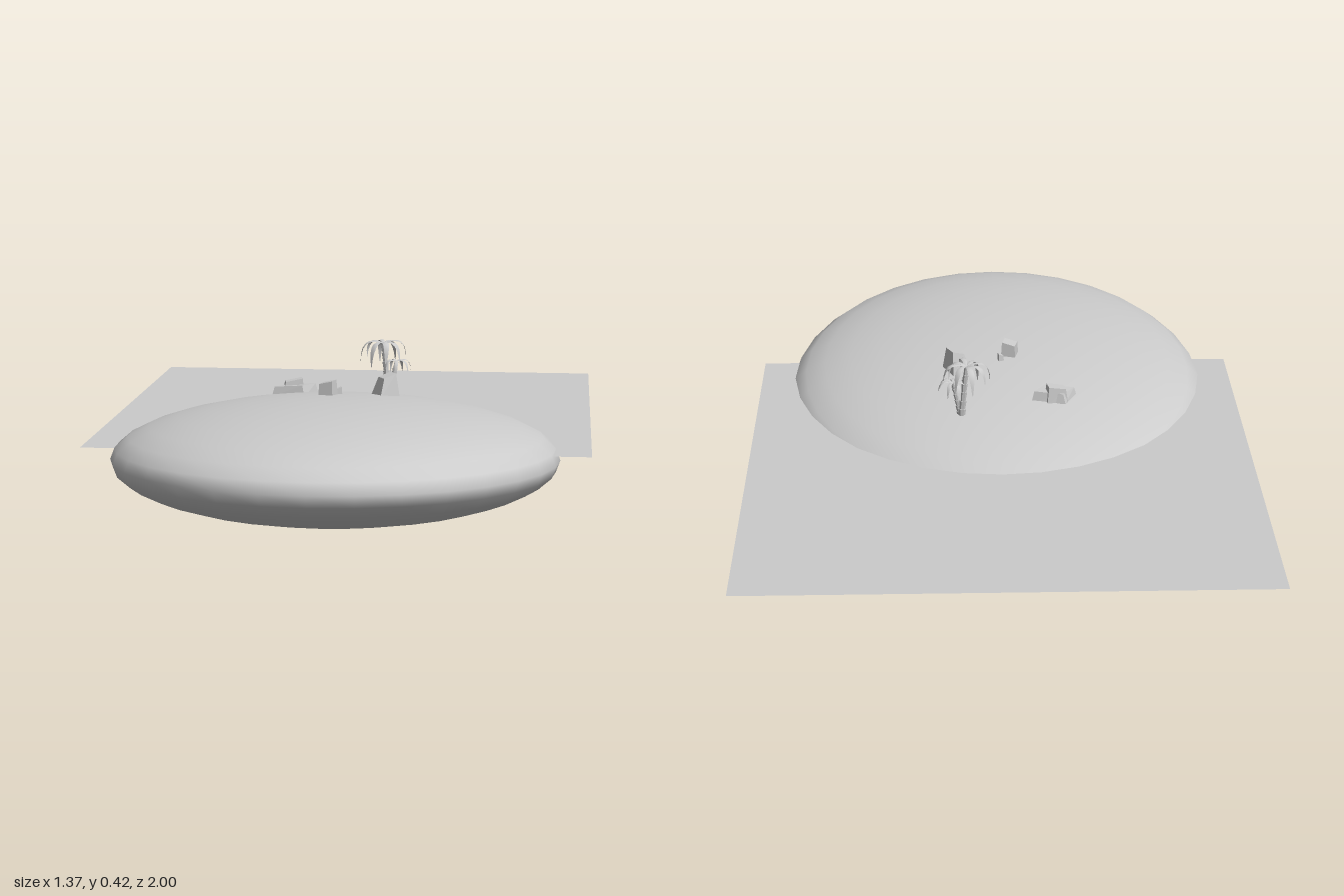
import * as THREE from 'three';

const WATER_Y = 0.2;
const CENTER = new THREE.Vector3(-0.003, 0.168, 0.28);
const RADII = new THREE.Vector3(0.605, 0.159, 0.721);
const TILT = -0.0615;

const smooth = new THREE.MeshStandardMaterial({ color: 0xcccccc });
const faceted = new THREE.MeshStandardMaterial({ color: 0xcccccc, flatShading: true });
const thin = new THREE.MeshStandardMaterial({ color: 0xcccccc, side: THREE.DoubleSide });

function addMesh(parent, name, geometry, material) {
  const mesh = new THREE.Mesh(geometry, material);
  mesh.name = name;
  parent.add(mesh);
  return mesh;
}

// Height of the tilted island's upper surface at (x, z)
function groundY(x, z) {
  const dx = (x - CENTER.x) / 0.605, dz = z - CENTER.z;
  const rise = Math.sqrt(Math.max(0, 1 - dx * dx - (dz / 0.72) ** 2));
  return CENTER.y + 0.0585 * dz + 0.1595 * rise;
}

// Boulder: a box narrowed and sheared towards its top
function addRock(parent, name, x, z, [w, h, d], turn, taper, shear = 0, skew = 0) {
  const geo = new THREE.BoxGeometry(w, h, d);
  const p = geo.attributes.position;
  for (let i = 0; i < p.count; i++) {
    const top = p.getY(i) > 0;
    const k = top ? taper : 1;
    const side = Math.sign(p.getX(i));
    const px = p.getX(i) * k + (top ? shear : 0) + p.getZ(i) * skew;
    p.setXYZ(i, px, p.getY(i) + (top ? side * h * 0.1 : 0), p.getZ(i) * k);
  }
  geo.computeVertexNormals();
  const rock = addMesh(parent, name, geo, faceted);
  rock.position.set(x, groundY(x, z) + h / 2 - 0.008, z);
  rock.rotation.y = turn;
  return rock;
}

// Drooping leaf along +x, folded slightly along its midrib
function frondGeometry(length, drop, width) {
  const pos = [], index = [], steps = 7;
  for (let i = 0; i <= steps; i++) {
    const t = i / steps;
    const x = length * Math.sin(t * Math.PI / 2);
    const y = length * 0.3 * Math.sin(t * Math.PI * 0.8) - drop * t ** 2.2;
    const half = width * (0.12 + 0.88 * Math.sin(Math.PI * Math.min(1, t * 0.97 + 0.03)));
    for (const s of [-1, 0, 1]) pos.push(x, y - Math.abs(s) * half * 0.35, s * half);
    if (i < steps) {
      const a = i * 3;
      for (const j of [a, a + 1]) index.push(j, j + 1, j + 3, j + 1, j + 4, j + 3);
    }
  }
  const geo = new THREE.BufferGeometry();
  geo.setAttribute('position', new THREE.Float32BufferAttribute(pos, 3));
  geo.setIndex(index);
  geo.computeVertexNormals();
  return geo;
}

// Trunk of short flared segments with a ring of fronds on top
function addPalm(parent, name, base, crown, radius, leaf, count) {
  const palm = new THREE.Group();
  palm.name = name;
  parent.add(palm);
  const start = new THREE.Vector3(base[0], groundY(base[0], base[1]) - 0.01, base[1]);
  const end = new THREE.Vector3(...crown);
  const mid = new THREE.Vector3(start.x * 0.6 + end.x * 0.4, (start.y + end.y) / 2, start.z * 0.8 + end.z * 0.2);
  const curve = new THREE.QuadraticBezierCurve3(start, mid, end);
  const up = new THREE.Vector3(0, 1, 0), segments = 6;
  for (let i = 0; i < segments; i++) {
    const a = curve.getPoint(i / segments), b = curve.getPoint((i + 1) / segments);
    const r = radius * (1 - 0.4 * i / segments);
    const part = addMesh(palm, 'trunkSegment', new THREE.CylinderGeometry(r, r * 0.8, a.distanceTo(b), 7), faceted);
    part.position.copy(a).lerp(b, 0.5);
    part.quaternion.setFromUnitVectors(up, b.clone().sub(a).normalize());
  }
  for (let i = 0; i < count; i++) {
    const len = leaf * (1 - 0.12 * (i % 2));
    const frond = addMesh(palm, 'frond', frondGeometry(len, leaf * (0.8 + 0.15 * (i % 3)), leaf * 0.13), thin);
    frond.position.copy(end);
    frond.rotation.y = (i + 0.3) / count * Math.PI * 2;
  }
}

export function createModel() {
  const model = new THREE.Group();
  model.name = 'island';

  // Flattened, slightly tilted land mass
  const land = addMesh(model, 'land', new THREE.SphereGeometry(1, 32, 16), smooth);
  land.scale.copy(RADII);
  land.position.copy(CENTER);
  land.rotation.x = TILT;

  // Flat water sheet around the rear half
  const water = addMesh(model, 'water', new THREE.PlaneGeometry(1.37, 1.39), thin);
  water.rotation.x = -Math.PI / 2;
  water.position.set(0, WATER_Y, -0.305);

  // Rocks
  const rocks = new THREE.Group();
  rocks.name = 'rocks';
  model.add(rocks);
  addRock(rocks, 'slabRock', -0.155, -0.05, [0.095, 0.03, 0.06], -0.12, 0.85, 0, -0.45);
  addRock(rocks, 'slabTopRock', -0.16, -0.06, [0.06, 0.046, 0.04], 0.2, 0.8);
  addRock(rocks, 'boulder', 0.115, 0.1, [0.06, 0.062, 0.065], 0.5, 0.6, 0.006);
  addRock(rocks, 'blockRock', -0.037, 0.175, [0.042, 0.043, 0.042], -0.25, 0.88);
  addRock(rocks, 'pebble', -0.01, 0.138, [0.016, 0.024, 0.016], 0.3, 0.8);

  // Pair of palms
  addPalm(model, 'tallPalm', [0.105, -0.13], [0.09, 0.417, -0.135], 0.011, 0.066, 8);
  addPalm(model, 'smallPalm', [0.108, -0.125], [0.128, 0.366, -0.13], 0.009, 0.042, 7);

  return model;
}
